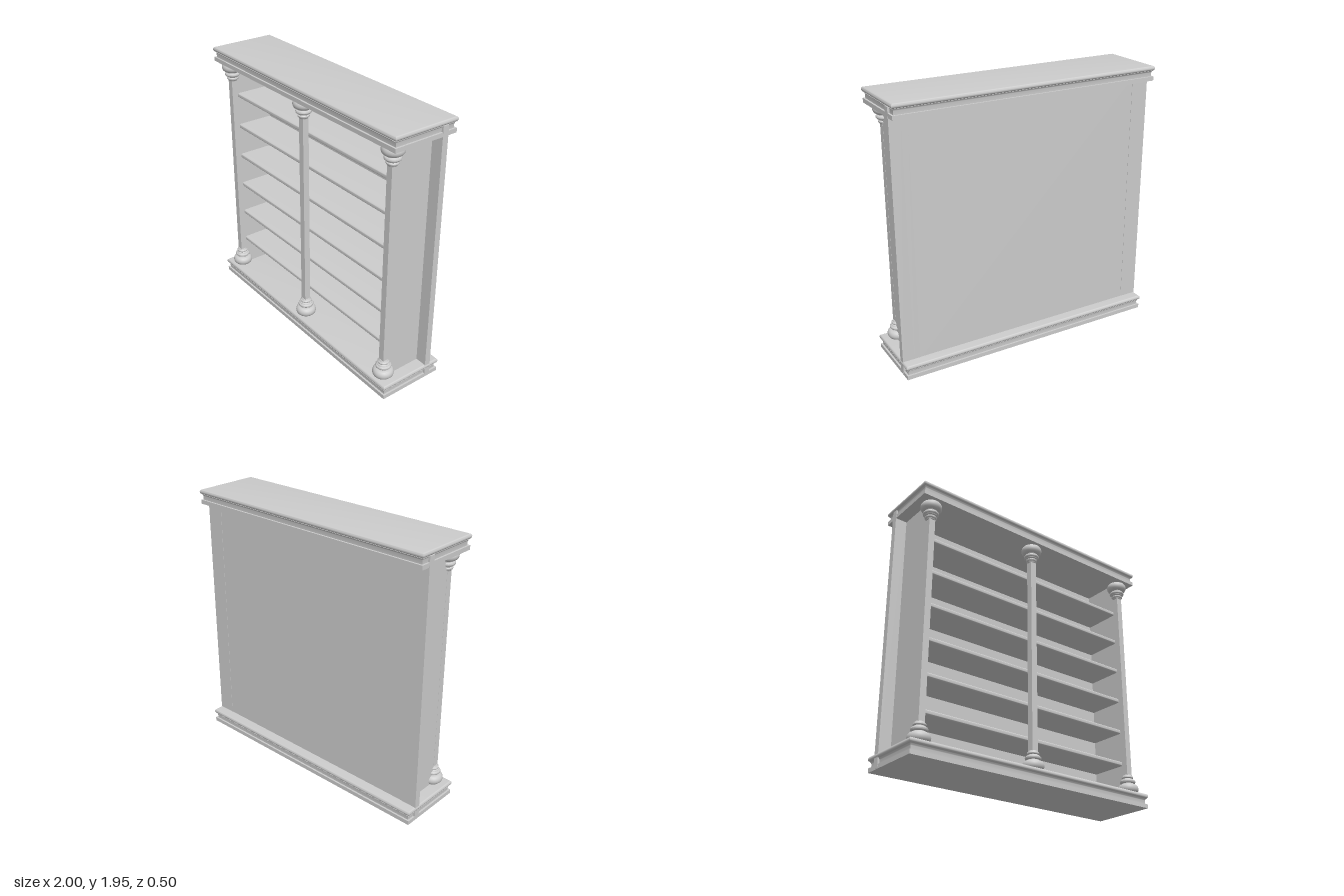
import * as THREE from 'three';
import { toCreasedNormals } from 'three/addons/utils/BufferGeometryUtils.js';

const material = new THREE.MeshStandardMaterial({ color: 0xcccccc });

function add(parent, name, geometry, x = 0, y = 0, z = 0) {
  const mesh = new THREE.Mesh(geometry, material);
  mesh.name = name;
  mesh.position.set(x, y, z);
  parent.add(mesh);
  return mesh;
}

// Box given by its limits on each axis
function addBox(parent, name, x0, x1, y0, y1, z0, z1) {
  const geometry = new THREE.BoxGeometry(x1 - x0, y1 - y0, z1 - z0);
  return add(parent, name, geometry, (x0 + x1) / 2, (y0 + y1) / 2, (z0 + z1) / 2);
}

// Half-circle of profile points bulging outwards, listed upwards
function bulge(r, y0, y1, depth, steps = 10) {
  const points = [];
  for (let i = 0; i <= steps; i++) {
    const a = -Math.PI / 2 + (Math.PI * i) / steps;
    points.push(new THREE.Vector2(r - depth + depth * Math.cos(a), (y0 + y1) / 2 + ((y1 - y0) / 2) * Math.sin(a)));
  }
  return points;
}

// Moulded slab: four-sided lathe stretched to a rectangle with an even profile
function slabGeometry() {
  const v = (r, y) => new THREE.Vector2(r, y);
  const profile = [v(0, 0), v(0.245, 0), v(0.245, 0.03), v(0.232, 0.03), v(0.232, 0.05)];
  for (let i = 1; i <= 5; i++) {
    const a = (i / 5) * (Math.PI / 2);
    profile.push(v(0.245 - 0.013 * Math.cos(a), 0.05 + 0.022 * Math.sin(a)));
  }
  profile.push(...bulge(0.25, 0.072, 0.105, 0.013), v(0, 0.105));
  const geometry = new THREE.LatheGeometry(profile, 4, Math.PI / 4);
  const p = geometry.attributes.position;
  for (let i = 0; i < p.count; i++) {
    const r = Math.hypot(p.getX(i), p.getZ(i));
    if (r < 1e-6) continue;
    p.setX(i, Math.sign(p.getX(i)) * (r + 0.75));
    p.setZ(i, Math.sign(p.getZ(i)) * r);
  }
  return toCreasedNormals(geometry, 0.6);
}

// Turned stack of three rings, widest at the bottom
function ringsGeometry() {
  const v = (r, y) => new THREE.Vector2(r, y);
  const profile = [
    v(0, 0), ...bulge(0.075, 0, 0.068, 0.03),
    v(0.043, 0.074), ...bulge(0.056, 0.076, 0.1, 0.01, 6),
    v(0.044, 0.105), v(0.036, 0.109), ...bulge(0.042, 0.111, 0.13, 0.008, 6),
    v(0.03, 0.139), v(0, 0.139),
  ];
  return toCreasedNormals(new THREE.LatheGeometry(profile, 32), 0.7);
}

// Shelf board with a rounded front edge, extruded along x
function shelfGeometry(width, back, front, thickness) {
  const r = thickness / 2;
  const shape = new THREE.Shape();
  shape.moveTo(-back, -r);
  shape.lineTo(-back, r);
  shape.lineTo(-front + 0.012, r);
  shape.absellipse(-front + 0.012, 0, 0.012, r, Math.PI / 2, Math.PI * 1.5, false);
  shape.closePath();
  const geometry = new THREE.ExtrudeGeometry(shape, { depth: width, bevelEnabled: false, curveSegments: 8 });
  geometry.translate(0, 0, -width / 2);
  geometry.rotateY(Math.PI / 2);
  return toCreasedNormals(geometry, 0.6);
}

export function createModel() {
  const model = new THREE.Group();
  model.name = 'bookcase';

  // Base and cornice share one moulding
  const slab = slabGeometry();
  add(model, 'base', slab);
  add(model, 'cornice', slab, 0, 1.84, 0);

  // Carcass: back, side panels and rear wings
  addBox(model, 'backPanel', -0.865, 0.865, 0.09, 1.86, -0.173, -0.135);
  for (const [side, s] of [['left', 1], ['right', -1]]) {
    const panel = addBox(model, side + 'SidePanel', 0.865, 0.91, 0.09, 1.86, -0.175, 0.142);
    const wing = addBox(model, side + 'RearWing', 0.91, 0.996, 0.004, 1.91, -0.175, -0.13);
    panel.position.x *= s;
    wing.position.x *= s;
  }

  // Six shelves
  const shelf = shelfGeometry(1.73, -0.14, 0.14, 0.033);
  for (let i = 0; i < 6; i++) add(model, 'shelf' + (i + 1), shelf, 0, 0.333 + i * 0.25, 0);

  // Front columns: square post with turned foot and capital
  const rings = ringsGeometry();
  for (const [name, x] of [['left', 0.888], ['middle', 0], ['right', -0.888]]) {
    const column = new THREE.Group();
    column.name = name + 'Column';
    column.position.set(x, 0, 0.163);
    addBox(column, 'post', -0.023, 0.023, 0.1, 1.845, -0.023, 0.023);
    add(column, 'foot', rings, 0, 0.103, 0);
    add(column, 'capital', rings, 0, 1.842, 0).rotation.x = Math.PI;
    model.add(column);
  }
  return model;
}
